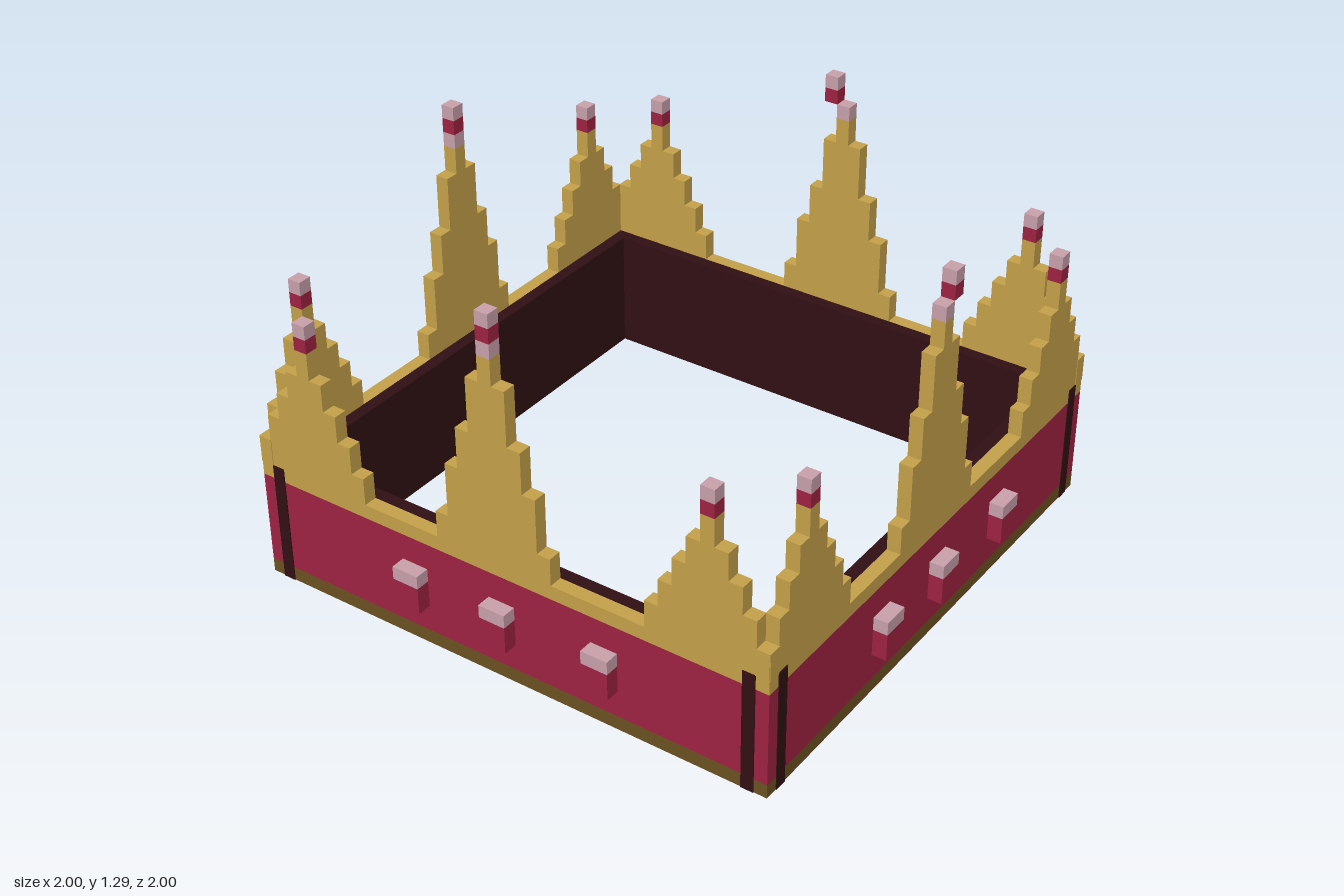
import * as THREE from 'three';

const material = (name, color) => {
  const m = new THREE.MeshStandardMaterial({ color });
  m.name = name;
  return m;
};

export function createModel() {
  const gold = material('gold', 0xc4a04a);
  const red = material('crimson', 0x9f2242);
  const pink = material('pale pink', 0xc8a0aa);
  const dark = material('dark lining', 0x300f13);
  const brown = material('bronze', 0x6b5120);

  const crown = new THREE.Group();
  crown.name = 'crown';

  // Four walls: u runs along the world axis of the wall, d outwards from the centre
  const walls = [
    { name: 'front', axis: 'x', sign: 1, offset: false, strips: true },
    { name: 'back', axis: 'x', sign: -1, offset: true, strips: false },
    { name: 'left', axis: 'z', sign: 1, offset: true, strips: true },
    { name: 'right', axis: 'z', sign: -1, offset: false, strips: false },
  ];

  for (const wall of walls) {
    const group = new THREE.Group();
    group.name = wall.name + 'Wall';
    crown.add(group);

    const block = (name, mat, u0, u1, y0, y1, d0 = 0.903, d1 = 0.95) => {
      const w = u1 - u0, d = d1 - d0, alongX = wall.axis === 'x';
      const mesh = new THREE.Mesh(new THREE.BoxGeometry(alongX ? w : d, y1 - y0, alongX ? d : w), mat);
      const u = (u0 + u1) / 2, out = wall.sign * (d0 + d1) / 2;
      mesh.position.set(alongX ? u : out, (y0 + y1) / 2, alongX ? out : u);
      mesh.name = name;
      group.add(mesh);
    };

    // Banded wall and inner lining
    block('bottomRim', brown, -0.95, 0.95, 0, 0.05);
    block('band', red, -0.95, 0.95, 0.05, 0.38);
    block('topRim', gold, -0.95, 0.95, 0.38, 0.43);
    block('lining', dark, -0.903, 0.903, 0, 0.43, 0.86, 0.903);

    // Stepped spike: each tier is narrower and ends higher
    const spike = (name, centre, tops) => {
      const half = [0.214, 0.167, 0.119, 0.071, 0.024];
      let y = 0.43;
      tops.forEach((top, i) => {
        block(name, gold, centre - half[i], centre + half[i], y, top);
        y = top;
      });
    };

    // Corner spikes with two-part tips
    for (const c of [-0.738, 0.738]) {
      spike('cornerSpike', c, [0.525, 0.62, 0.715, 0.81, 0.905]);
      block('cornerTipBase', red, c - 0.024, c + 0.024, 0.905, 0.953);
      block('cornerTip', pink, c - 0.024, c + 0.024, 0.953, 1.0);
    }

    // Tall middle spike; its tip always sits just left of the wall centre
    const c = wall.offset ? 0.023 : -0.025;
    spike('middleSpike', c, [0.525, 0.715, 0.86, 1.05, 1.14]);
    block('middleTipCollar', pink, c - 0.024, c + 0.024, 1.14, 1.19);
    block('middleTipBase', red, -0.049, -0.001, 1.19, 1.24);
    block('middleTip', pink, -0.049, -0.001, 1.24, 1.287);

    // Jewels on the band
    for (const u of wall.offset ? [-0.383, -0.002, 0.332] : [-0.337, -0.002, 0.377]) {
      block('jewel', red, u - 0.048, u + 0.048, 0.145, 0.24, 0.95, 1.0);
      block('jewelTop', pink, u - 0.048, u + 0.048, 0.24, 0.286, 0.95, 1.0);
    }

    // Ends of the lining boards showing on the outside
    if (wall.strips) {
      for (const u of [-0.882, 0.882]) {
        block('liningEnd', dark, u - 0.022, u + 0.022, 0, 0.43, 0.949, 0.953);
      }
    }
  }
  return crown;
}
